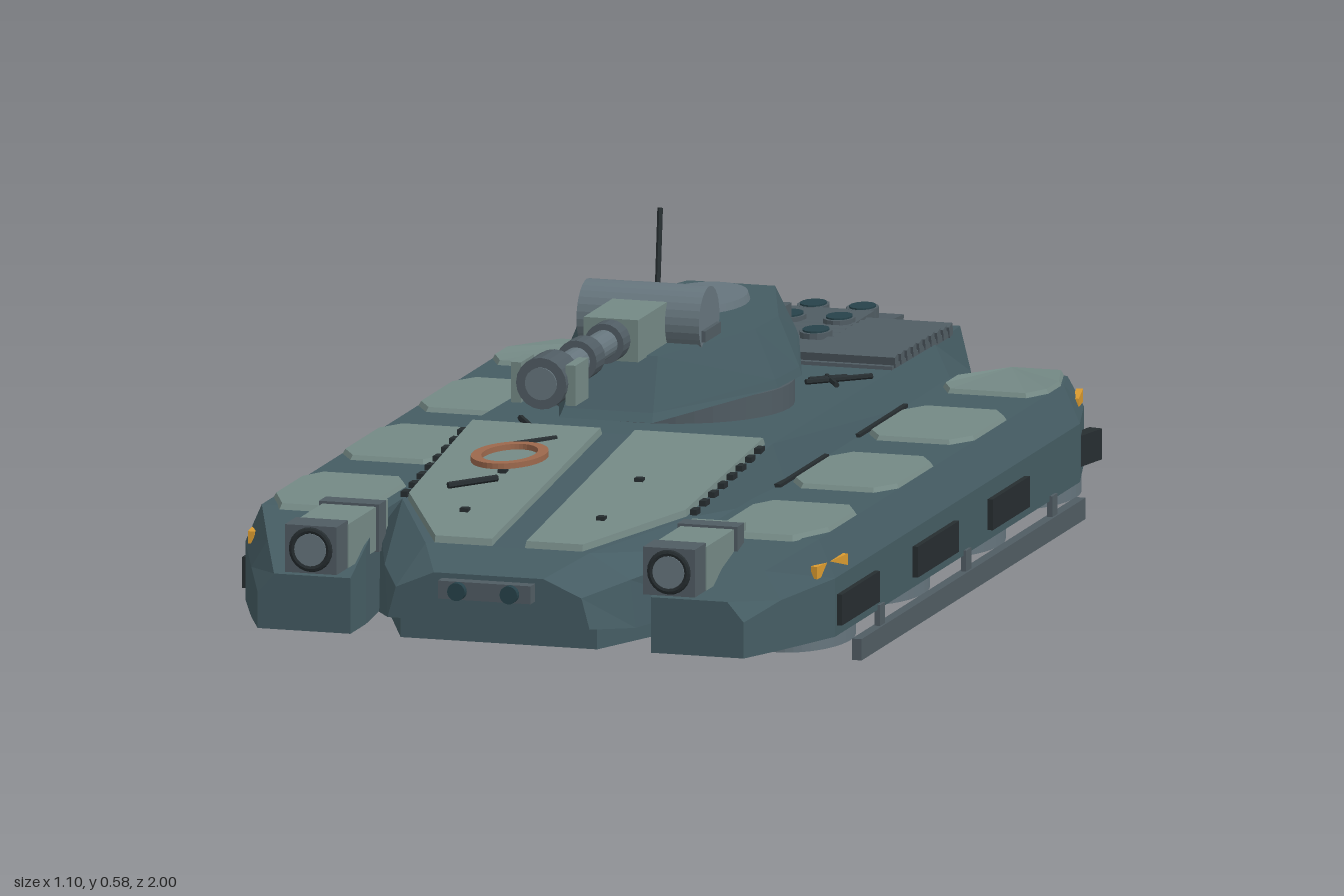
import * as THREE from 'three';

const mat = (color) => new THREE.MeshStandardMaterial({ color, flatShading: true });
const M = {
  hull: mat(0x455c63), panel: mat(0x748985), metal: mat(0x66757d), steel: mat(0x505c63),
  dark: mat(0x262d30), lens: mat(0x27424a), amber: mat(0xd99a30), copper: mat(0x9c684c),
};

// Skin a run of equal-length rings of [x, y, z], capped at both ends, always facing outward
function loft(rings) {
  const tris = [], n = rings[0].length;
  for (let r = 0; r < rings.length - 1; r++) {
    for (let i = 0; i < n; i++) {
      const j = (i + 1) % n, a = rings[r], b = rings[r + 1];
      tris.push([a[i], a[j], b[j]], [a[i], b[j], b[i]]);
    }
  }
  const first = rings[0], last = rings[rings.length - 1];
  for (let i = 1; i < n - 1; i++) {
    tris.push([first[0], first[i + 1], first[i]], [last[0], last[i], last[i + 1]]);
  }
  let volume = 0;
  const c = new THREE.Vector3(...first[0]);
  const v = (p) => new THREE.Vector3(...p).sub(c);
  for (const [p, q, s] of tris) volume += v(p).dot(v(q).cross(v(s)));
  const pos = tris.flatMap((t) => (volume < 0 ? [t[0], t[2], t[1]] : t)).flat();
  const g = new THREE.BufferGeometry();
  g.setAttribute('position', new THREE.Float32BufferAttribute(pos, 3));
  g.computeVertexNormals();
  return g;
}

// Flat plate with outline [x, z]; height(x, z) gives its underside
const plate = (outline, height, t, inset = 0.95) => {
  const cx = outline.reduce((s, p) => s + p[0], 0) / outline.length;
  const cz = outline.reduce((s, p) => s + p[1], 0) / outline.length;
  return loft([
    outline.map(([x, z]) => [x, height(x, z), z]),
    outline.map(([x, z]) => [cx + (x - cx) * inset, height(x, z) + t, cz + (z - cz) * inset]),
  ]);
};

export function createModel() {
  const model = new THREE.Group();
  const add = (name, geometry, material, x = 0, y = 0, z = 0) => {
    const mesh = new THREE.Mesh(geometry, material);
    mesh.name = name;
    mesh.position.set(x, y, z);
    model.add(mesh);
    return mesh;
  };
  const box = (name, m, w, h, d, x, y, z) => add(name, new THREE.BoxGeometry(w, h, d), m, x, y, z);
  const tubeZ = (name, m, r, z0, z1, x, y, sides = 20) =>
    add(name, new THREE.CylinderGeometry(r, r, z1 - z0, sides).rotateX(Math.PI / 2), m, x, y, (z0 + z1) / 2);
  const rod = (name, m, a, b, r) => {
    const p = new THREE.Vector3(...a), q = new THREE.Vector3(...b);
    const mesh = add(name, new THREE.CylinderGeometry(r, r, p.distanceTo(q), 6), m);
    mesh.position.copy(p).add(q).multiplyScalar(0.5);
    mesh.quaternion.setFromUnitVectors(new THREE.Vector3(0, 1, 0), q.sub(p).normalize());
  };

  // Central hull: [z, bottom y, bottom w, shoulder y, shoulder w, top y, top w]
  const hull = [
    [-1.0, 0.11, 0.25, 0.2, 0.265, 0.28, 0.245],
    [-0.76, 0.1, 0.305, 0.21, 0.315, 0.295, 0.275],
    [0.2, 0.1, 0.305, 0.21, 0.315, 0.305, 0.28],
    [0.62, 0.1, 0.3, 0.2, 0.305, 0.255, 0.265],
    [0.85, 0.1, 0.235, 0.185, 0.225, 0.228, 0.15],
    [0.96, 0.115, 0.185, 0.17, 0.17, 0.2, 0.1],
  ];
  add('hull', loft(hull.map(([z, yb, wb, ym, wm, yt, wt]) =>
    [[-wb, yb, z], [wb, yb, z], [wm, ym, z], [wt, yt, z], [-wt, yt, z], [-wm, ym, z]])), M.hull);
  add('belly', plate([[-0.2, -0.93], [0.2, -0.93], [0.285, -0.75], [0.285, 0.65], [0.18, 0.9], [-0.18, 0.9],
    [-0.285, 0.65], [-0.285, -0.75]], () => 0.068, 0.04, 1), M.hull);

  // Nose light bar
  box('lightBar', M.steel, 0.17, 0.032, 0.04, 0, 0.175, 0.965);
  for (const x of [-0.048, 0.048]) tubeZ('headlight', M.lens, 0.016, 0.96, 0.998, x, 0.175);

  const slope = (x, z) => (z < 0.62 ? 0.305 - (z - 0.2) * 0.119 : 0.255 - (z - 0.62) * 0.117);
  const bays = [[0.54, 0.65, 0.43], [0.11, 0.21, -0.03], [-0.33, -0.225, -0.44], [-0.77, -0.73, -0.88]];

  for (const s of [-1, 1]) {
    // Side pod: [z, bottom y, shoulder y, top y, inner x, outer x]
    const pod = [
      [-0.98, 0.13, 0.17, 0.205, 0.36, 0.465],
      [-0.91, 0.066, 0.17, 0.222, 0.34, 0.5],
      [-0.76, 0.066, 0.17, 0.238, 0.3, 0.54],
      [0.66, 0.066, 0.17, 0.238, 0.29, 0.54],
      [0.8, 0.066, 0.155, 0.205, 0.275, 0.485],
      [0.89, 0.066, 0.13, 0.165, 0.275, 0.445],
    ];
    add('sidePod', loft(pod.map(([z, yb, ym, yt, xi, xo]) =>
      [[s * xi, yb, z], [s * xo, yb, z], [s * xo, ym, z], [s * (xo - 0.03), yt, z], [s * xi, yt, z]])), M.hull);

    // Pod roof hatches: z ends and how far each end narrows
    for (const [z0, z1, n0, n1] of [[-0.92, -0.625, 0.05, 0.025], [-0.485, -0.195, 0.03, 0.03],
      [-0.06, 0.245, 0.03, 0.03], [0.385, 0.685, 0.025, 0.04]]) {
      const k = z0 < -0.9 ? 0.17 : 0.05, e = z1 > 0.6 ? 0.09 : 0.05;
      const outline = [[0.315 + n0, z0], [0.51 - n0, z0], [0.51, z0 + k], [0.51, z1 - e],
        [0.51 - n1, z1], [0.315 + n1, z1], [0.315, z1 - e], [0.315, z0 + k]];
      add('podHatch', plate(outline.map(([x, z]) => [s * x, z]),
        (x, z) => (z < -0.76 ? 0.236 + (z + 0.76) * 0.09 : 0.236), 0.01), M.panel);
    }

    // Side windows and lift rings
    bays.forEach(([zc, za, zb], i) => {
      const x = i === 3 ? 0.517 : 0.537, zs = Math.abs(za - zb);
      const win = box('sideWindow', M.dark, 0.025, 0.055, zs, s * x, 0.112, (za + zb) / 2);
      if (i === 3) win.rotation.y = s * -0.2;
      const ring = new THREE.Shape().absellipse(0, 0, 0.09, 0.14, 0, Math.PI * 2);
      ring.holes.push(new THREE.Path().absellipse(0, 0, 0.067, 0.108, 0, Math.PI * 2));
      add('liftRing', new THREE.ExtrudeGeometry(ring, { depth: 0.033, bevelEnabled: false, curveSegments: 20 })
        .rotateX(-Math.PI / 2), M.metal, s * 0.44, 0.036, zc);
    });

    // Amber marker lamps
    box('markerLamp', M.amber, 0.012, 0.022, 0.13, s * 0.523, 0.187, 0.64).rotation.y = s * -0.12;
    box('markerLamp', M.amber, 0.012, 0.022, 0.09, s * 0.498, 0.187, -0.88).rotation.y = s * 0.22;

    // Skids
    for (const x of [0.283, 0.54]) {
      box('skid', M.steel, 0.018, 0.038, 1.3, s * x, 0.019, -0.115);
      for (const z of [-0.6, -0.1, 0.4]) box('skidStrut', M.steel, 0.01, 0.05, 0.03, s * x, 0.05, z);
    }

    // Bow guns
    box('bowGunHousing', M.panel, 0.098, 0.078, 0.23, s * 0.328, 0.222, 0.775);
    box('bowGunCollar', M.steel, 0.11, 0.085, 0.04, s * 0.328, 0.223, 0.71);
    box('bowGunMuzzle', M.steel, 0.095, 0.085, 0.065, s * 0.328, 0.225, 0.92);
    const rim = add('bowGunRim', new THREE.TorusGeometry(0.034, 0.006, 8, 24), M.dark, s * 0.328, 0.225, 0.953);
    rim.scale.z = 0.8;
    tubeZ('bowGunLens', M.metal, 0.029, 0.93, 0.957, s * 0.328, 0.225);

    // Glacis armour panel with edge clips and bolts
    add('glacisPanel', plate([[0.03, 0.205], [0.268, 0.205], [0.255, 0.62], [0.135, 0.845], [0.03, 0.845]]
      .map(([x, z]) => [s * x, z]), slope, 0.012, 0.985), M.panel);
    for (let i = 0; i < 8; i++) {
      const z = 0.25 + i * 0.05;
      box('panelClip', M.dark, 0.012, 0.01, 0.025, s * (0.272 - i * 0.001), slope(0, z) + 0.004, z);
    }
    for (const z of [0.48, 0.7]) box('panelBolt', M.dark, 0.015, 0.01, 0.015, s * 0.125, slope(0, z) + 0.013, z);
    for (const z of [0.11, -0.35]) box('hullSlit', M.dark, 0.012, 0.008, 0.28, s * 0.305, 0.24, z);
  }

  // Tow ring and loose rods on the bow and deck
  const loop = new THREE.Shape().absellipse(0, 0, 0.064, 0.1, 0, Math.PI * 2);
  loop.holes.push(new THREE.Path().absellipse(0, 0, 0.046, 0.078, 0, Math.PI * 2));
  add('towRing', new THREE.ExtrudeGeometry(loop, { depth: 0.01, bevelEnabled: false, curveSegments: 20 })
    .rotateX(-Math.PI / 2), M.copper, -0.127, 0.3, 0.435);
  rod('bowRod', M.dark, [-0.18, 0.285, 0.625], [-0.11, 0.29, 0.56], 0.006);
  rod('bowRod', M.dark, [-0.16, 0.302, 0.34], [-0.09, 0.307, 0.28], 0.006);
  rod('deckRod', M.dark, [-0.2, 0.31, 0.14], [-0.165, 0.31, 0.2], 0.006);
  for (const d of [0, 0.04]) {
    rod('deckRod', M.dark, [0.18, 0.31, -0.31 - d / 2], [0.275 - d, 0.31, -0.395 - d / 2 + d], 0.005);
  }
  rod('deckRod', M.dark, [0.2, 0.31, -0.37], [0.24, 0.31, -0.3], 0.005);

  // Engine deck: louvres, centre plate and exhaust cluster
  const deckY = (z) => 0.297 + (z + 0.76) * (z < -0.76 ? 0.06 : 0.01);
  box('engineBay', M.steel, 0.55, 0.012, 0.35, 0, 0.298, -0.685);
  for (let i = 0; i < 10; i++) {
    const z = -0.845 + i * 0.035;
    box('louvre', M.steel, 0.555, 0.02, 0.02, 0, deckY(z) + 0.012, z).rotation.x = 0.25;
  }
  box('exhaustPlate', M.steel, 0.29, 0.014, 0.1, 0, deckY(-0.94) + 0.006, -0.94).rotation.x = -0.06;
  box('exhaustPlate', M.steel, 0.24, 0.026, 0.34, 0, 0.306, -0.73);
  for (const z of [-0.925, -0.79, -0.655]) {
    for (const x of [-0.09, 0, 0.09]) {
      const y = deckY(z) + 0.015;
      add('exhaustPipe', new THREE.CylinderGeometry(0.028, 0.028, 0.034, 14), M.steel, x, y, z).scale.z = 1.35;
      add('exhaustMouth', new THREE.CylinderGeometry(0.023, 0.023, 0.004, 14), M.lens, x, y + 0.018, z).scale.z = 1.35;
    }
  }

  // Turret
  add('turretRing', new THREE.CylinderGeometry(0.21, 0.21, 0.05, 40), M.steel, 0, 0.32, -0.12);
  const outline = (w, wb, wf, zb, zf) => [[-wb, zb], [wb, zb], [w, -0.2], [w * 0.97, -0.08], [wf, zf],
    [-wf, zf], [-w * 0.97, -0.08], [-w, -0.2]];
  add('turret', loft([
    outline(0.208, 0.1, 0.085, -0.525, 0.28).map(([x, z]) => [x, 0.345, z]),
    outline(0.203, 0.098, 0.082, -0.515, 0.265).map(([x, z]) => [x, 0.36, z]),
    outline(0.165, 0.08, 0.07, -0.45, 0.2).map(([x, z]) => [x, 0.448, z]),
  ]), M.hull);
  box('turretRack', M.steel, 0.16, 0.05, 0.05, 0, 0.375, -0.52);
  add('turretHatch', new THREE.CylinderGeometry(0.076, 0.08, 0.014, 32), M.metal, 0, 0.454, -0.28).scale.z = 1.5;
  rod('antenna', M.dark, [-0.115, 0.44, -0.385], [-0.126, 0.577, -0.435], 0.005);

  // Main gun: trunnion drum, breech, barrel and muzzle brake
  add('gunDrum', new THREE.CylinderGeometry(0.06, 0.06, 0.224, 28).rotateZ(Math.PI / 2), M.metal, 0, 0.483, 0.035);
  box('drumCap', M.steel, 0.015, 0.02, 0.09, 0.112, 0.462, 0.035);
  box('gunBreech', M.metal, 0.1, 0.075, 0.1, 0, 0.487, -0.01);
  box('gunHousing', M.panel, 0.1, 0.075, 0.19, 0, 0.483, 0.155);
  tubeZ('barrel', M.metal, 0.025, 0.2, 0.62, 0, 0.483);
  tubeZ('barrelSleeve', M.steel, 0.036, 0.25, 0.29, 0, 0.483);
  tubeZ('barrelSleeve', M.steel, 0.037, 0.4, 0.45, 0, 0.483);
  tubeZ('muzzle', M.steel, 0.046, 0.575, 0.655, 0, 0.483);
  tubeZ('muzzleBore', M.metal, 0.029, 0.64, 0.658, 0, 0.483);
  for (const x of [-0.05, 0.05]) box('muzzleBrake', M.panel, 0.018, 0.072, 0.075, x, 0.48, 0.605);

  return model;
}
